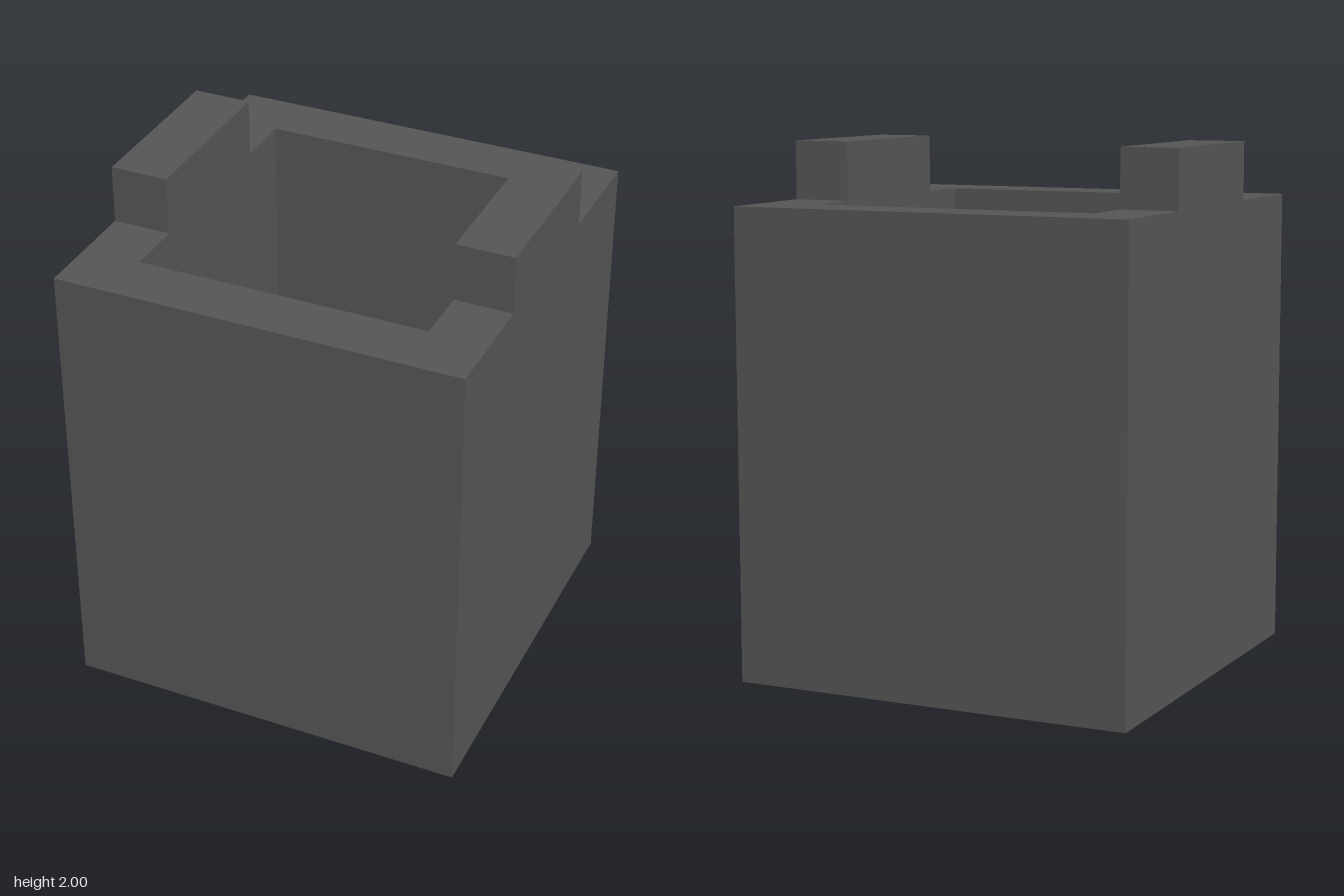
import * as THREE from 'three';

const U = 1 / 9; // modelling unit: wall thickness is 2 units

export function createModel() {
  const group = new THREE.Group();
  const darkGrey = new THREE.MeshStandardMaterial({ color: 0x555555 });
  darkGrey.name = 'dark grey';

  const add = (name, geometry, x, y, z) => {
    const mesh = new THREE.Mesh(geometry, darkGrey);
    mesh.name = name;
    mesh.position.set(x, y, z);
    group.add(mesh);
  };

  // Square open box: a wall profile turned in four flat sides
  const outer = 7 * U * Math.SQRT2;
  const inner = 5 * U * Math.SQRT2;
  const profile = [
    [0, 0], [outer, 0], [outer, 16 * U],
    [inner, 16 * U], [inner, 2 * U], [0, 2 * U],
  ].map(([r, y]) => new THREE.Vector2(r, y));
  const body = new THREE.LatheGeometry(profile, 4, Math.PI / 4).toNonIndexed();
  body.computeVertexNormals();
  add('openBox', body, 0, 0, 0);

  // Raised tabs on the left and right rims
  for (const [name, side] of [['leftTab', 1], ['rightTab', -1]]) {
    add(name, new THREE.BoxGeometry(2 * U, 2 * U, 6 * U), side * 6 * U, 17 * U, 0);
  }
  return group;
}
